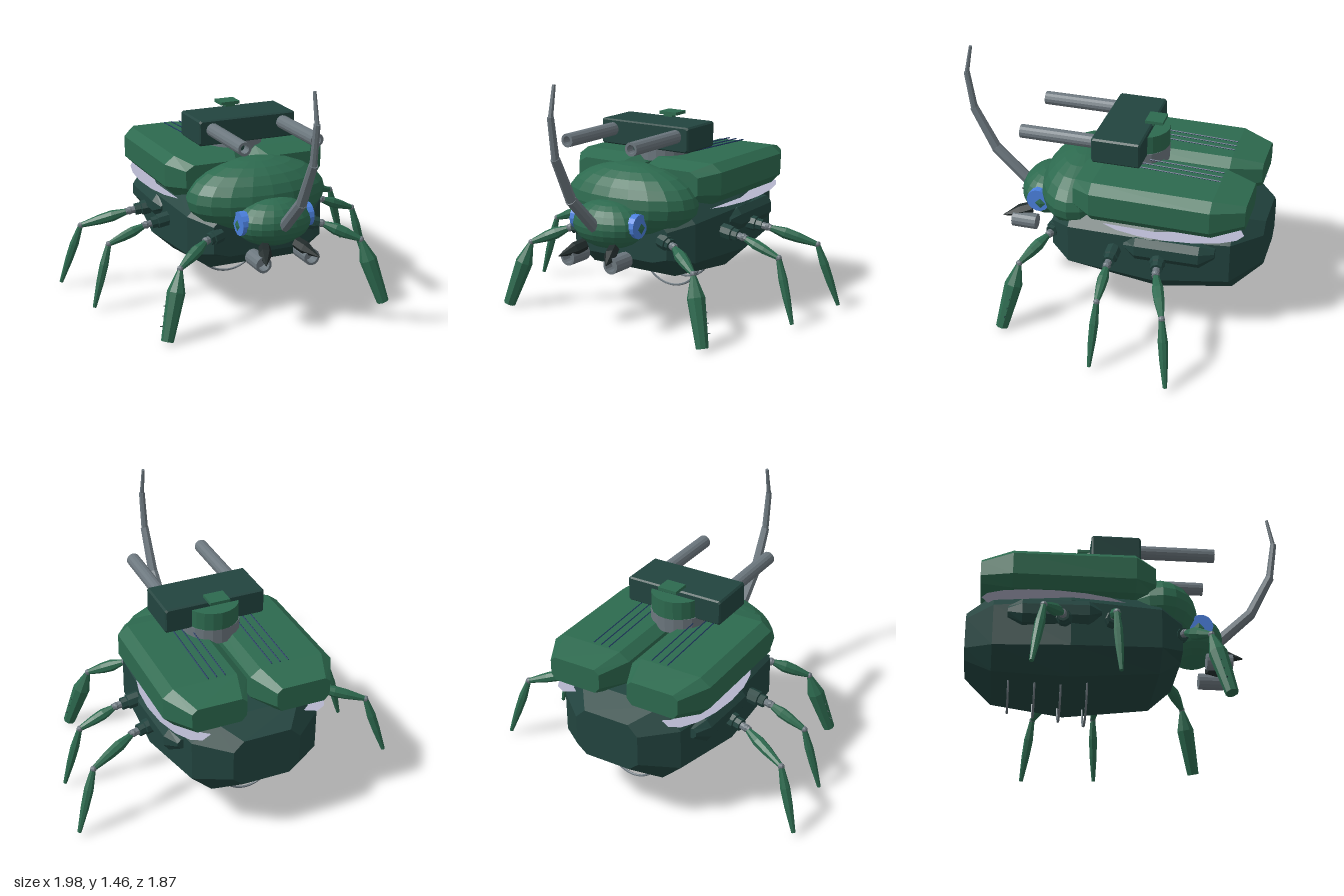
import * as THREE from 'three';

const mat = (name, color, extra = {}) => {
  const m = new THREE.MeshStandardMaterial({ color, flatShading: true, ...extra });
  m.name = name;
  return m;
};
const V = (x, y, z) => new THREE.Vector3(x, y, z);

// Bevelled eight-sided cross-section, counter-clockwise seen from the front
function octagon(z, cx, hw, yb, yt, bevelX, bevelBottom, bevelTop) {
  const w = hw - bevelX;
  return [[-w, yb], [w, yb], [hw, yb + bevelBottom], [hw, yt - bevelTop],
    [w, yt], [-w, yt], [-hw, yt - bevelTop], [-hw, yb + bevelBottom]].map(([x, y]) => V(cx + x, y, z));
}

// Closed skin through cross-sections ordered from back to front
function loft(sections) {
  const p = [];
  const tri = (...vs) => vs.forEach(v => p.push(v.x, v.y, v.z));
  const n = sections[0].length;
  for (let k = 0; k < sections.length - 1; k++) {
    for (let i = 0; i < n; i++) {
      const j = (i + 1) % n, a = sections[k], b = sections[k + 1];
      tri(a[i], a[j], b[j]);
      tri(a[i], b[j], b[i]);
    }
  }
  const first = sections[0], last = sections[sections.length - 1];
  for (let i = 1; i < n - 1; i++) {
    tri(first[0], first[i + 1], first[i]);
    tri(last[0], last[i], last[i + 1]);
  }
  const g = new THREE.BufferGeometry();
  g.setAttribute('position', new THREE.Float32BufferAttribute(p, 3));
  g.computeVertexNormals();
  return g;
}

export function createModel() {
  const root = new THREE.Group();
  const green = mat('shell green', 0x2d6a4f);
  const dark = mat('dark green', 0x22443f);
  const steel = mat('steel grey', 0x6c777e);
  const black = mat('mandible black', 0x212b2b);
  const blue = mat('eye blue', 0x4a7fdc);
  const navy = mat('stripe navy', 0x1d3560);
  const lilac = mat('wing lilac', 0xb4b4cc, { side: THREE.DoubleSide });

  const add = (name, geometry, material, x = 0, y = 0, z = 0) => {
    const m = new THREE.Mesh(geometry, material);
    m.name = name;
    m.position.set(x, y, z);
    root.add(m);
    return m;
  };

  // Turned part from a to b; profile holds [fraction of length, radius]
  const limb = (name, a, b, profile, material, sides = 8) => {
    const d = b.clone().sub(a), len = d.length();
    const pts = [[profile[0][0], 0], ...profile, [profile[profile.length - 1][0], 0]]
      .map(([t, r]) => new THREE.Vector2(r, t * len));
    const m = add(name, new THREE.LatheGeometry(pts, sides), material, a.x, a.y, a.z);
    m.quaternion.setFromUnitVectors(V(0, 1, 0), d.normalize());
    return m;
  };

  // Tube open at its front end
  const muzzle = (name, x, y, z, length, r, ri) => {
    const pts = [[0, 0], [r, 0], [r, length], [ri, length], [ri, length - 0.06], [0, length - 0.06]]
      .map(([a, b]) => new THREE.Vector2(a, b));
    add(name, new THREE.LatheGeometry(pts, 14), steel, x, y, z).rotation.x = Math.PI / 2;
  };

  // Abdomen
  add('abdomen', loft([
    octagon(-0.935, 0, 0.2, 0.37, 0.66, 0.06, 0.05, 0.06),
    octagon(-0.78, 0, 0.38, 0.26, 0.73, 0.12, 0.11, 0.12),
    octagon(-0.35, 0, 0.46, 0.22, 0.76, 0.14, 0.13, 0.14),
    octagon(0.16, 0, 0.43, 0.27, 0.74, 0.14, 0.1, 0.14),
    octagon(0.29, 0, 0.32, 0.37, 0.66, 0.1, 0.03, 0.1)]), dark);

  // Thorax and head
  const ball = new THREE.SphereGeometry(1, 20, 12);
  add('thorax', ball, green, 0, 0.695, 0.17).scale.set(0.43, 0.215, 0.25);
  add('head', ball, green, 0, 0.595, 0.4).scale.set(0.23, 0.14, 0.17);

  // Jointed horn
  const horn = [V(0, 0.6, 0.54), V(0, 0.8, 0.75), V(0, 1.05, 0.88), V(0, 1.28, 0.915), V(0, 1.45, 0.882)];
  [[0.035, 0.033], [0.031, 0.026], [0.022, 0.019], [0.014, 0.01]].forEach(([r0, r1], i) =>
    limb('hornSegment', horn[i], horn[i + 1], [[0, r0], [1.02, r1]], steel));

  // Belly ribs
  for (let i = 0; i < 4; i++) {
    const rib = add('bellyRib', new THREE.TorusGeometry(0.215 - i * 0.02, 0.007, 6, 24, Math.PI), steel,
      0, 0.28, -0.24 - i * 0.147);
    rib.rotation.z = Math.PI;
  }

  // Turret
  add('turretRing', new THREE.CylinderGeometry(0.17, 0.17, 0.09, 20), steel, 0, 0.94, -0.155);
  add('turretDrum', new THREE.CylinderGeometry(0.16, 0.16, 0.11, 20), green, 0, 1.038, -0.165);
  add('turretBox', loft([
    octagon(-0.23, 0, 0.297, 0.983, 1.117, 0.01, 0.01, 0.01),
    octagon(-0.22, 0, 0.305, 0.975, 1.125, 0.01, 0.01, 0.01),
    octagon(0.047, 0, 0.305, 0.975, 1.125, 0.01, 0.01, 0.01),
    octagon(0.057, 0, 0.297, 0.983, 1.117, 0.01, 0.01, 0.01)]), dark);
  add('hatchStem', new THREE.BoxGeometry(0.06, 0.03, 0.04), green, 0, 1.125, -0.215);
  add('hatch', new THREE.BoxGeometry(0.12, 0.018, 0.105), green, 0, 1.146, -0.245);

  for (const s of [1, -1]) {
    // Wing case, with stripes above it
    add('wingCase', loft([
      octagon(-0.86, s * 0.25, 0.16, 0.74, 0.885, 0.03, 0.035, 0.025),
      octagon(-0.68, s * 0.258, 0.247, 0.69, 0.922, 0.06, 0.06, 0.045),
      octagon(0.01, s * 0.258, 0.247, 0.69, 0.927, 0.06, 0.06, 0.045),
      octagon(0.13, s * 0.24, 0.18, 0.72, 0.89, 0.05, 0.04, 0.03)]), green);
    for (const x of [0.14, 0.19, 0.24])
      limb('stripe', V(s * x, 0.957, -0.12), V(s * x, 0.935, -0.68), [[0, 0.004], [1, 0.004]], navy, 4);

    // Folded flight wing
    const wing = new THREE.Shape();
    wing.absellipse(0, 0, 0.155, 0.42, 0, Math.PI * 2);
    const w = add('flightWing', new THREE.ShapeGeometry(wing, 8), lilac, s * 0.345, 0.658, -0.43);
    w.rotation.x = -Math.PI / 2 + 0.03;

    // Side panel
    add('sidePanel', loft([
      octagon(-0.7, s * 0.39, 0.04, 0.53, 0.59, 0.02, 0.02, 0.02),
      octagon(-0.62, s * 0.42, 0.06, 0.48, 0.62, 0.03, 0.04, 0.04),
      octagon(-0.25, s * 0.43, 0.06, 0.48, 0.62, 0.03, 0.04, 0.04),
      octagon(-0.18, s * 0.42, 0.04, 0.53, 0.58, 0.02, 0.02, 0.02)]), dark);

    // Eye, mandible and lower nozzle
    add('eye', new THREE.CylinderGeometry(0.07, 0.07, 0.05, 14), blue, s * 0.198, 0.61, 0.415).rotation.z = Math.PI / 2;
    limb('mandible', V(s * 0.1, 0.48, 0.5), V(s * 0.165, 0.435, 0.66), [[0, 0.035], [0.4, 0.038], [1, 0.003]], black, 6);
    muzzle('nozzle', s * 0.15, 0.415, 0.45, 0.15, 0.048, 0.034);

    // Gun barrel
    muzzle('gunBarrel', s * 0.222, 1.067, 0.04, 0.46, 0.04, 0.025);
    add('barrelBore', new THREE.CircleGeometry(0.024, 12), dark, s * 0.222, 1.067, 0.443);

    // Legs: hip, knee and foot points, then thigh and shin girth
    const legs = [
      ['front', V(0.27, 0.51, 0.27), V(0.37, 0.49, 0.295), V(0.575, 0.395, 0.41), V(0.69, 0.01, 0.49), 0.036, 0.052, 0.036],
      ['middle', V(0.42, 0.51, -0.12), V(0.58, 0.485, -0.12), V(0.81, 0.395, -0.13), V(0.915, 0.02, -0.115), 0.032, 0.026, 0.011],
      ['hind', V(0.42, 0.51, -0.38), V(0.58, 0.485, -0.405), V(0.86, 0.395, -0.515), V(0.98, 0.025, -0.572), 0.034, 0.028, 0.012],
    ];
    for (const [name, hip, joint, knee, foot, thigh, shin, tip] of legs) {
      for (const v of [hip, joint, knee, foot]) v.x *= s;
      limb(name + 'Hip', hip, joint, [[0, 0.045], [0.55, 0.045], [0.58, 0.036], [0.8, 0.036]], dark);
      limb(name + 'HipPin', hip, joint, [[0.7, 0.022], [1.15, 0.02]], steel);
      add(name + 'HipJoint', new THREE.SphereGeometry(0.024, 8, 6), steel, joint.x, joint.y, joint.z);
      limb(name + 'Thigh', joint, knee, [[0.06, 0.018], [0.35, thigh], [0.6, thigh * 0.9], [0.97, 0.016]], green);
      add(name + 'Knee', new THREE.SphereGeometry(0.019, 8, 6), steel, knee.x, knee.y, knee.z);
      limb(name + 'Shin', knee, foot, [[0.02, 0.016], [0.32, shin], [0.6, shin * 0.88], [1, tip]], green);
    }

    // Spikes on the front shin
    const [, , , knee, foot] = legs[0];
    for (const t of [0.5, 0.64, 0.78]) {
      const p = knee.clone().lerp(foot, t);
      limb('shinSpike', p, p.clone().add(V(s * 0.056, 0, -0.012)), [[0, 0.01], [1, 0.002]], dark, 5);
    }
  }
  return root;
}
